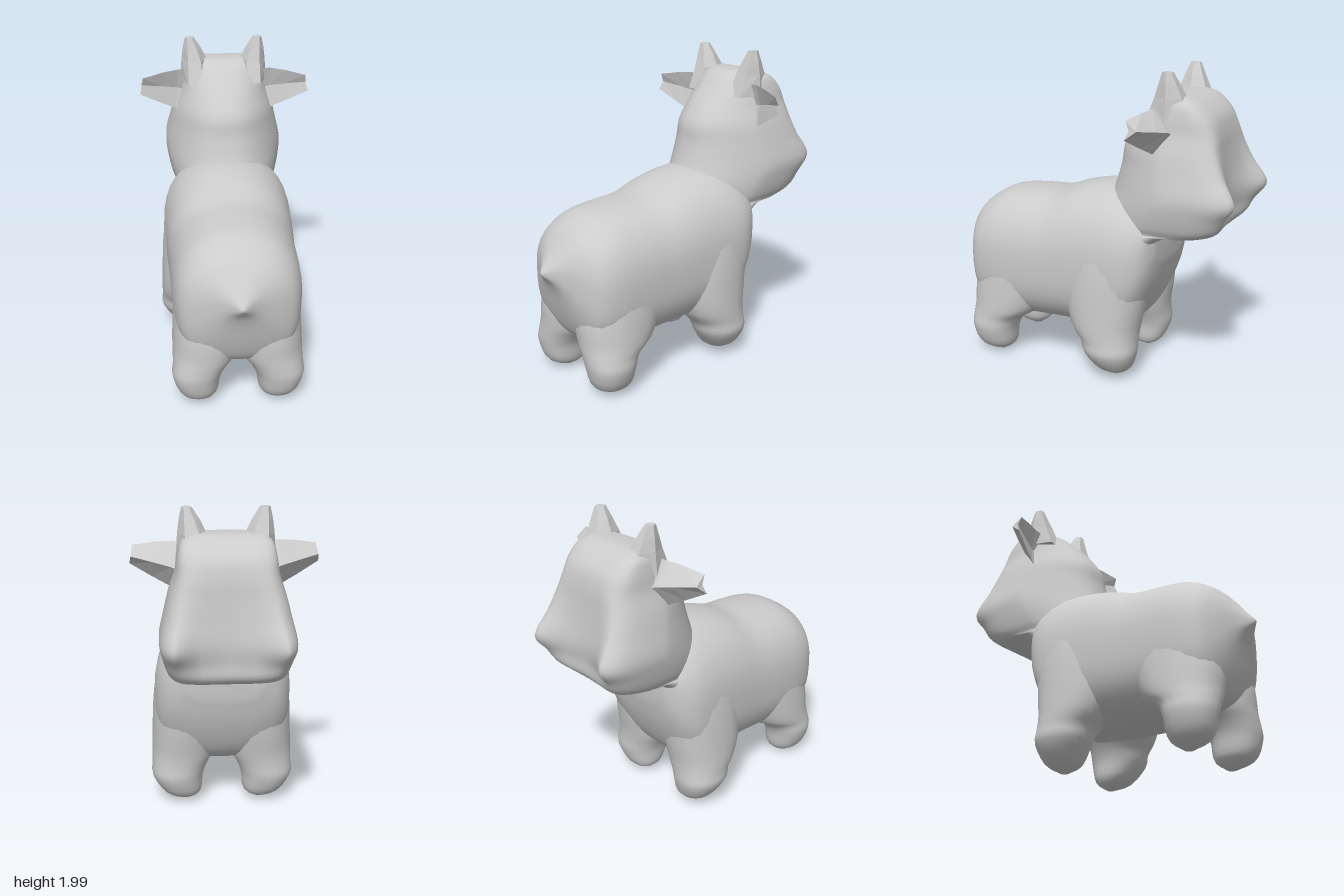
import * as THREE from 'three';

const V = (x, y, z) => new THREE.Vector3(x, y, z);

// Closed skin over a list of rings, capped at both ends, always facing outward
function skin(rings) {
  const n = rings[0].length, pts = rings.flat(), idx = [];
  for (let r = 0; r < rings.length - 1; r++) {
    for (let i = 0; i < n; i++) {
      const a = r * n + i, b = r * n + (i + 1) % n;
      idx.push(a, b, a + n, b, b + n, a + n);
    }
  }
  [0, rings.length - 1].forEach((r, end) => {
    const mid = V(0, 0, 0);
    rings[r].forEach((p) => mid.addScaledVector(p, 1 / n));
    const c = pts.push(mid) - 1;
    for (let i = 0; i < n; i++) {
      const a = r * n + i, b = r * n + (i + 1) % n;
      end ? idx.push(c, a, b) : idx.push(c, b, a);
    }
  });
  let volume = 0;
  const cross = V(0, 0, 0);
  for (let i = 0; i < idx.length; i += 3) {
    volume += pts[idx[i]].dot(cross.crossVectors(pts[idx[i + 1]], pts[idx[i + 2]]));
  }
  if (volume < 0) idx.reverse();
  const geo = new THREE.BufferGeometry().setFromPoints(pts);
  geo.setIndex(idx);
  geo.computeVertexNormals();
  return geo;
}

// Smoothly resample rows of four or five section values
function resample(rows, count) {
  const a = new THREE.CatmullRomCurve3(rows.map((r) => V(r[0], r[1], r[2])), false, 'catmullrom', 0.5);
  const b = new THREE.CatmullRomCurve3(rows.map((r) => V(r[3], r[4] ?? 0, 0)), false, 'catmullrom', 0.5);
  return Array.from({ length: count + 1 }, (_, i) => {
    const p = a.getPoint(i / count), q = b.getPoint(i / count);
    return [p.x, p.y, p.z, q.x, q.y];
  });
}

// Unit superellipse outline with its own squareness above and below
function outline(n, upper, lower = upper) {
  return Array.from({ length: n }, (_, i) => {
    const t = (i / n) * Math.PI * 2, e = Math.sin(t) < 0 ? lower : upper;
    const f = (v) => Math.sign(v) * Math.abs(v) ** (2 / e);
    return [f(Math.cos(t)), f(Math.sin(t))];
  });
}

export function createModel() {
  const model = new THREE.Group();
  const smooth = new THREE.MeshStandardMaterial({ color: 0xcccccc });
  const faceted = new THREE.MeshStandardMaterial({ color: 0xcccccc, flatShading: true, side: THREE.DoubleSide });
  const add = (name, geo, mat = smooth) => {
    const mesh = new THREE.Mesh(geo, mat);
    mesh.name = name;
    model.add(mesh);
  };

  // Trunk, from the pointed tail to the chest: z, bottom, top, half width
  const trunk = [
    [1.0, 0.78, 0.8, 0.01], [0.93, 0.68, 0.88, 0.11], [0.86, 0.46, 0.97, 0.26],
    [0.79, 0.33, 1.04, 0.35], [0.66, 0.28, 1.11, 0.39], [0.48, 0.27, 1.135, 0.4],
    [0.28, 0.28, 1.15, 0.405], [0.1, 0.285, 1.21, 0.415], [-0.08, 0.28, 1.245, 0.425],
    [-0.24, 0.3, 1.25, 0.43], [-0.35, 0.4, 1.22, 0.41], [-0.44, 0.6, 1.16, 0.35],
    [-0.49, 0.8, 1.08, 0.24],
  ];
  const round = outline(40, 2.3, 2.8);
  add('body', skin(resample(trunk, 48).map(([z, lo, hi, w]) =>
    round.map(([c, s]) => V(w * c, (lo + hi) / 2 + s * (hi - lo) / 2, z)))));

  // Neck and head, from inside the chest upward: y, back z, front z, half width, muzzle hollow
  const head = [
    [0.8, -0.1, -0.44, 0.33, 0], [0.94, -0.06, -0.49, 0.35, 0], [0.995, -0.04, -0.6, 0.34, 0],
    [1.01, -0.04, -0.79, 0.33, 0], [1.06, -0.04, -0.91, 0.355, 0.05], [1.15, -0.08, -0.97, 0.38, 0.11],
    [1.26, -0.13, -1.04, 0.395, 0.18], [1.4, -0.17, -0.95, 0.365, 0.1], [1.52, -0.19, -0.89, 0.335, 0.05],
    [1.63, -0.26, -0.85, 0.3, 0.02], [1.73, -0.35, -0.8, 0.285, 0], [1.81, -0.43, -0.72, 0.26, 0],
    [1.85, -0.5, -0.63, 0.2, 0],
  ];
  const boxy = outline(48, 2.5, 4.5);
  add('head and neck', skin(resample(head, 60).map(([y, back, front, w, hollow]) =>
    boxy.map(([c, s]) => {
      const x = w * c * (s > 0 ? 1 - 0.3 * s : 1);
      const dent = s < 0 ? hollow * Math.max(0, 1 - (c / 0.8) ** 2) * -s : 0;
      return V(x, y, (back + front) / 2 + s * (back - front) / 2 + dent);
    }))));

  // Legs flaring into the trunk, from the foot upward: y, centre x, centre z, half width, half depth
  const legs = {
    'hind leg': [
      [0, 0.24, 0.66, 0.03, 0.03], [0.06, 0.25, 0.68, 0.115, 0.125], [0.18, 0.26, 0.69, 0.15, 0.155],
      [0.26, 0.235, 0.67, 0.17, 0.18], [0.34, 0.2, 0.61, 0.205, 0.24], [0.48, 0.18, 0.57, 0.22, 0.28],
      [0.66, 0.17, 0.53, 0.215, 0.28], [0.85, 0.15, 0.5, 0.19, 0.22],
    ],
    'fore leg': [
      [0.02, 0.24, -0.23, 0.03, 0.03], [0.07, 0.26, -0.22, 0.12, 0.11], [0.18, 0.29, -0.2, 0.165, 0.17],
      [0.26, 0.275, -0.185, 0.18, 0.185], [0.35, 0.25, -0.15, 0.205, 0.225], [0.5, 0.235, -0.14, 0.215, 0.26],
      [0.7, 0.22, -0.15, 0.22, 0.27], [0.9, 0.19, -0.16, 0.22, 0.27], [1.05, 0.14, -0.17, 0.2, 0.25],
    ],
  };
  const limb = outline(24, 2.2);

  for (const side of [1, -1]) {
    const label = side > 0 ? 'left' : 'right';
    for (const [name, rows] of Object.entries(legs)) {
      add(`${label} ${name}`, skin(resample(rows, 24).map(([y, x, z, w, d]) =>
        limb.map(([c, s]) => V(side * (x + w * c), y, z + d * s)))));
    }

    // Cupped ear with a hollow toward the tail: x, top, bottom, rim z, thickness
    const ear = [
      [0.2, 1.78, 1.44, -0.48, 0.14], [0.32, 1.785, 1.52, -0.48, 0.1],
      [0.42, 1.775, 1.57, -0.45, 0.09], [0.55, 1.75, 1.64, -0.41, 0.07],
    ];
    add(`${label} ear`, skin(ear.map(([x, top, low, z, d]) => [
      V(side * (x - 0.01), top, z), V(side * (x - 0.01), (top + low) / 2, z - d * 0.35),
      V(side * (x + 0.01), low, z), V(side * x, (top + low) / 2, z - d),
    ])), faceted);

    // Blunt horn: y, centre x, centre z, half width, half depth
    const horn = [
      [1.7, 0.19, -0.54, 0.1, 0.16], [1.84, 0.195, -0.54, 0.085, 0.1],
      [1.92, 0.21, -0.535, 0.06, 0.065], [1.99, 0.225, -0.53, 0.03, 0.035],
    ];
    add(`${label} horn`, skin(horn.map(([y, x, z, w, d]) =>
      outline(6, 2).map(([c, s]) => V(side * (x + w * c), y, z + d * s)))), faceted);
  }
  return model;
}
